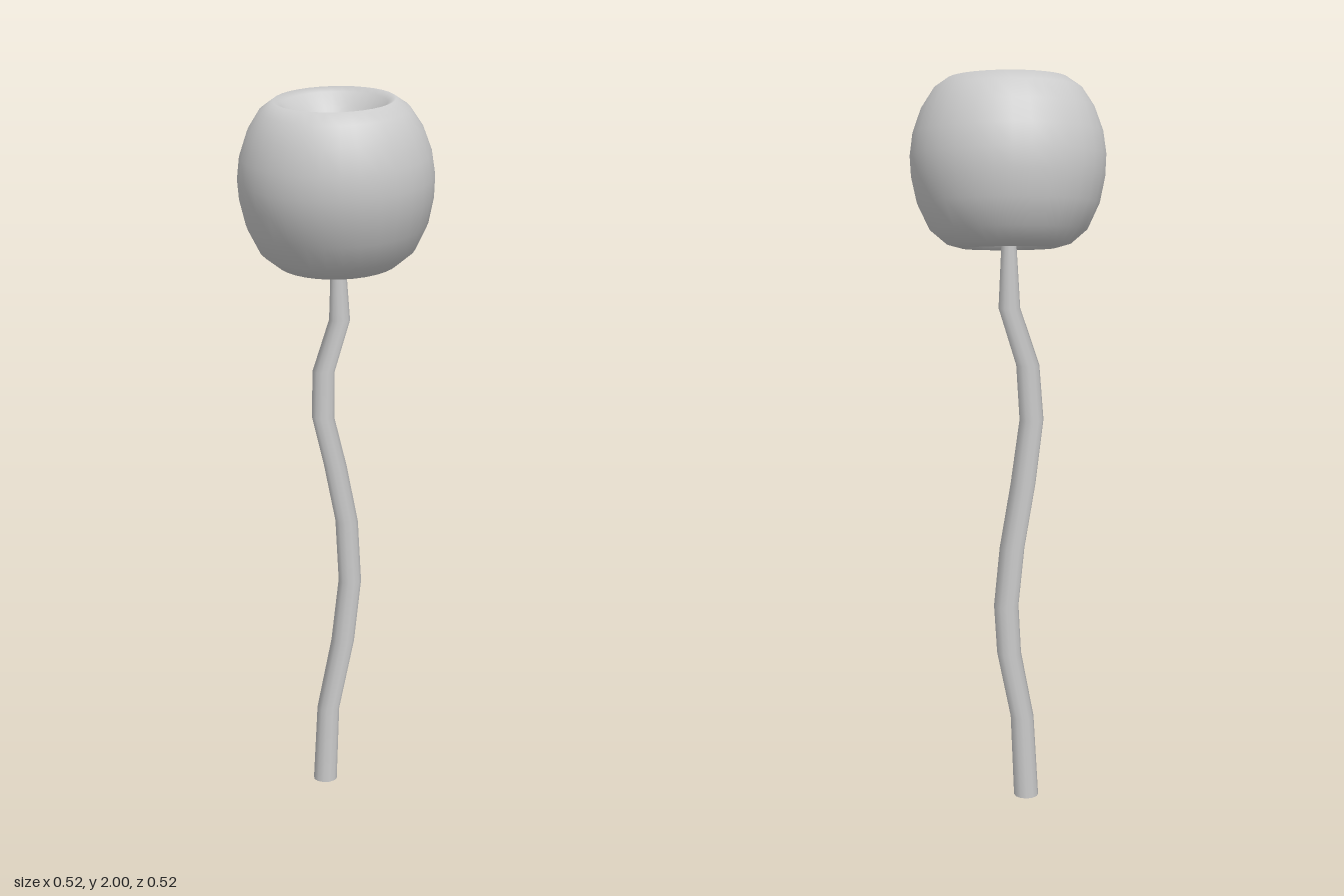
import * as THREE from 'three';

const material = new THREE.MeshStandardMaterial({ color: 0xcccccc });

// Round fruit-like head: a lathe with a funnel dimple at both ends, tipped forward
function makeHead() {
  const profile = [
    [0, -0.1], [0.04, -0.13], [0.08, -0.175], [0.105, -0.212], [0.125, -0.224],
    [0.165, -0.213], [0.21, -0.175], [0.243, -0.105], [0.258, -0.035], [0.261, 0.02],
    [0.253, 0.08], [0.23, 0.145], [0.197, 0.196], [0.16, 0.222],
    [0.138, 0.212], [0.11, 0.178], [0.07, 0.132], [0.035, 0.102], [0, 0.08],
  ].map(([r, y]) => new THREE.Vector2(r, y));
  const head = new THREE.Mesh(new THREE.LatheGeometry(profile, 32), material);
  head.name = 'head';
  head.position.set(0, 1.757, 0);
  head.rotation.x = 0.157;
  return head;
}

// Crooked stem: a capped cylinder whose rings follow a list of stations
function makeStem() {
  // x, y, z, radius from the ground up
  const stations = [
    [-0.046, 0, -0.095, 0.034], [-0.035, 0.23, -0.083, 0.032],
    [0.003, 0.43, -0.113, 0.033], [0.014, 0.59, -0.185, 0.033],
    [0, 0.76, -0.216, 0.033], [-0.03, 0.93, -0.195, 0.033],
    [-0.056, 1.09, -0.13, 0.032], [-0.048, 1.23, -0.09, 0.031],
    [0, 1.38, -0.064, 0.029], [0, 1.53, -0.04, 0.021], [0, 1.66, -0.018, 0.014],
  ];
  const last = stations.length - 1;
  const geometry = new THREE.CylinderGeometry(1, 1, last, 12, last);
  const position = geometry.attributes.position;
  for (let i = 0; i < position.count; i++) {
    const [x, y, z, r] = stations[Math.round(position.getY(i) + last / 2)];
    position.setXYZ(i, x + position.getX(i) * r, y, z + position.getZ(i) * r);
  }
  const stem = new THREE.Mesh(geometry, material);
  stem.name = 'stem';
  return stem;
}

export function createModel() {
  const model = new THREE.Group();
  model.name = 'headOnStem';
  model.add(makeHead(), makeStem());
  return model;
}
